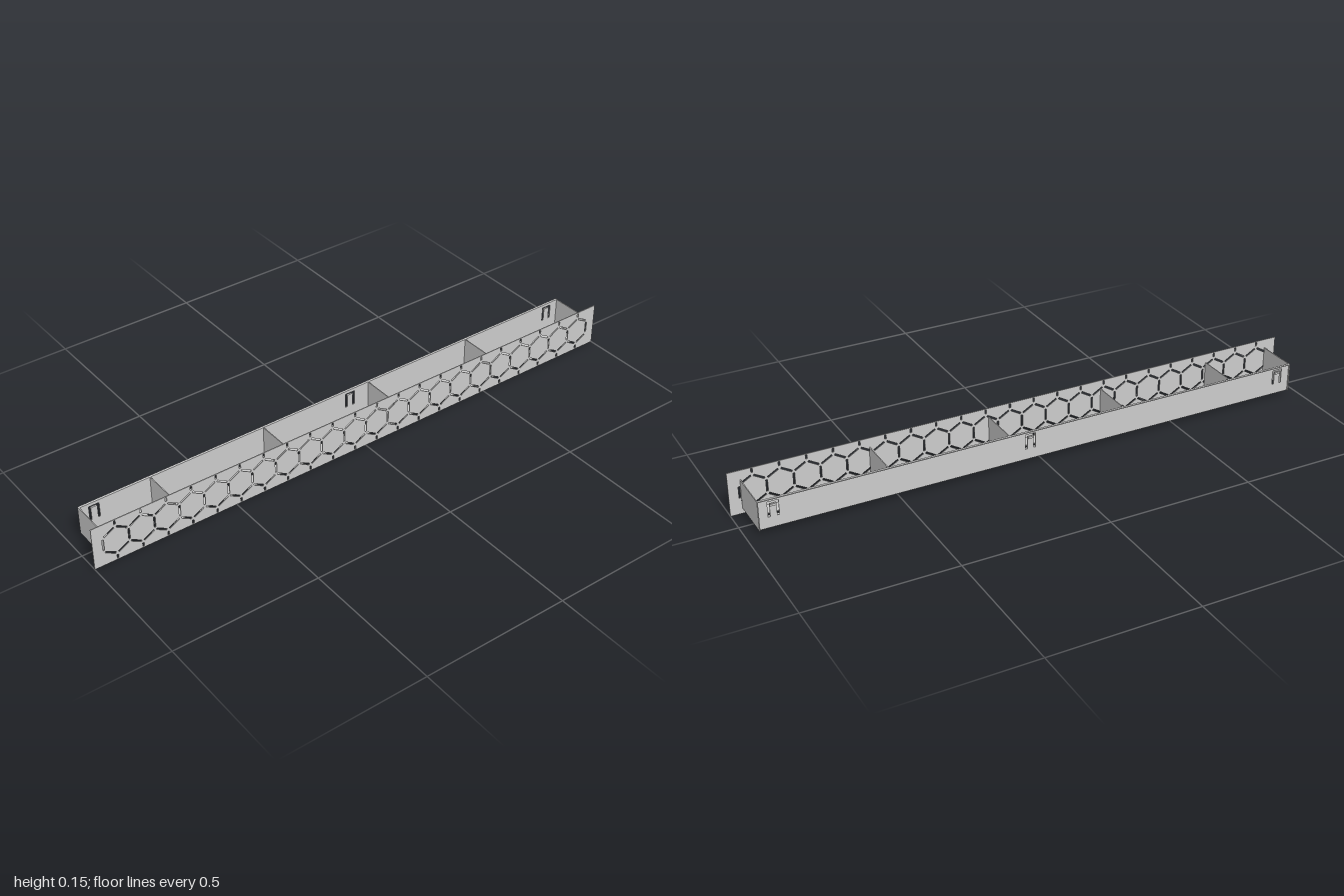
import * as THREE from 'three';

const material = new THREE.MeshStandardMaterial({ color: 0xcccccc, flatShading: true });

// Box given by its min and max corners
function box(parent, name, x0, x1, y0, y1, z0, z1) {
  const mesh = new THREE.Mesh(new THREE.BoxGeometry(x1 - x0, y1 - y0, z1 - z0), material);
  mesh.position.set((x0 + x1) / 2, (y0 + y1) / 2, (z0 + z1) / 2);
  mesh.name = name;
  parent.add(mesh);
}

function rectangle(Type, x0, x1, y0, y1) {
  const p = new Type();
  p.moveTo(x0, y0).lineTo(x1, y0).lineTo(x1, y1).lineTo(x0, y1).closePath();
  return p;
}

// Narrow slit centred on a point, running along an angle
function slit(x, y, angle, length, width) {
  const c = Math.cos(angle), s = Math.sin(angle);
  const corners = [[-1, -1], [1, -1], [1, 1], [-1, 1]].map(([a, b]) => {
    const u = a * length / 2, v = b * width / 2;
    return new THREE.Vector2(x + u * c - v * s, y + u * s + v * c);
  });
  return new THREE.Path(corners);
}

function plate(parent, name, shape, depth, z) {
  const mesh = new THREE.Mesh(new THREE.ExtrudeGeometry(shape, { depth, bevelEnabled: false }), material);
  mesh.position.z = z;
  mesh.name = name;
  parent.add(mesh);
}

export function createModel() {
  const model = new THREE.Group();
  model.name = 'slottedTray';

  // Front panel with a honeycomb of slits
  const panel = rectangle(THREE.Shape, -1, 1, 0, 0.15);
  const count = 22, pitch = 0.0877, radius = pitch / Math.sqrt(3), cy = 0.075;
  const width = 0.006, length = 0.04;
  for (let i = 0; i <= count; i++) {
    const x = (i - (count - 1) / 2) * pitch;
    panel.holes.push(slit(x - pitch / 2, cy, Math.PI / 2, length, width));
    if (i === count) break;
    for (const sx of [-1, 1]) for (const sy of [-1, 1]) {
      panel.holes.push(slit(x + sx * pitch / 4, cy + sy * radius * 0.75, -sx * sy * Math.PI / 6, length, width));
    }
    for (const sy of [-1, 1]) panel.holes.push(slit(x, cy + sy * 0.0645, Math.PI / 2, 0.014, width));
  }
  plate(model, 'frontPanel', panel, 0.003, 0.073);

  // Back wall with three spring clips cut free by U-shaped slits
  const y0 = 0.018, y1 = 0.118, back = -0.071;
  const wall = rectangle(THREE.Shape, -0.958, 0.958, y0, y1);
  for (const x of [-0.91, 0.045, 0.91]) {
    const u = new THREE.Path();
    [[-0.018, 0.055], [-0.011, 0.055], [-0.011, 0.1], [0.011, 0.1], [0.011, 0.055], [0.018, 0.055], [0.018, 0.107], [-0.018, 0.107]]
      .forEach(([dx, y], i) => (i ? u.lineTo(x + dx, y) : u.moveTo(x + dx, y)));
    u.closePath();
    wall.holes.push(u);
    box(model, 'clipCatch', x - 0.01, x + 0.01, 0.092, 0.099, -0.075, back);
  }
  plate(model, 'backWall', wall, 0.003, back);
  box(model, 'backLip', -0.958, 0.958, y1 - 0.003, y1, -0.076, back);

  // End walls and dividers
  for (const x of [-0.96, 0.957]) box(model, 'endWall', x, x + 0.003, y0, y1, -0.076, 0.073);
  for (let i = 0; i < 4; i++) {
    const x = -0.713 + i * 0.4165;
    box(model, 'divider', x - 0.0015, x + 0.0015, y0, y1, back + 0.003, 0.073);
  }

  // Two floor strips with open gaps beside them
  for (const [za, zb] of [[-0.053, -0.006], [0.006, 0.053]]) {
    box(model, 'floorStrip', -0.713, 0.957, y0, y0 + 0.003, za, zb);
  }

  // Flat tabs reaching inward from the back wall at the open end
  for (const x of [-0.91, -0.767]) {
    box(model, 'tabFoot', x - 0.015, x + 0.015, y0, y0 + 0.003, back + 0.003, -0.062);
    box(model, 'tab', x - 0.01, x + 0.01, y0, y0 + 0.003, -0.062, -0.003);
  }
  return model;
}
